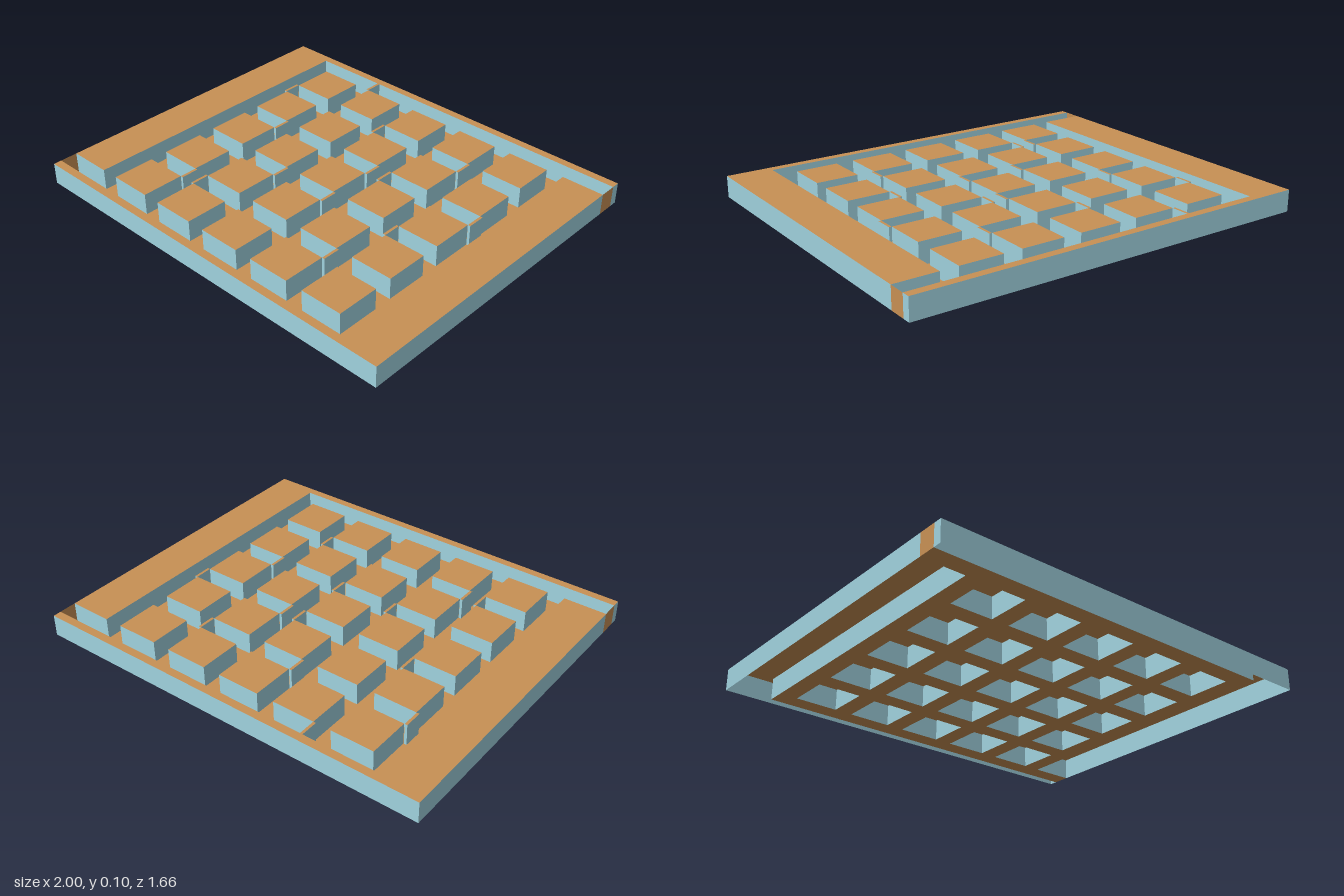
import * as THREE from 'three';

const H = 0.105;      // height of the walls
const PITCH = 0.298;  // block spacing
const HALF = 0.105;   // half a block
const W = 1, D = 0.828, IN = 0.788, OUT = 0.702; // board edges and channel edges

const brown = new THREE.MeshStandardMaterial({ color: 0xc89054, side: THREE.DoubleSide, flatShading: true });
const blue = new THREE.MeshStandardMaterial({ color: 0xa0d2de, side: THREE.DoubleSide, flatShading: true });

// Flat sheet from an [x, z] outline, with optional holes
function sheet(name, outline, y, holes = []) {
  const pts = (loop) => loop.map(([x, z]) => new THREE.Vector2(x, -z));
  const shape = new THREE.Shape(pts(outline));
  holes.forEach((h) => shape.holes.push(new THREE.Path(pts(h))));
  const mesh = new THREE.Mesh(new THREE.ShapeGeometry(shape).rotateX(-Math.PI / 2).translate(0, y, 0), brown);
  mesh.name = name;
  return mesh;
}

// Upright band following an [x, z] loop, open at top and bottom
function band(name, loop, material = blue, closed = true) {
  const pos = [];
  const n = closed ? loop.length : loop.length - 1;
  for (let i = 0; i < n; i++) {
    const [ax, az] = loop[i];
    const [bx, bz] = loop[(i + 1) % loop.length];
    pos.push(ax, 0, az, bx, 0, bz, bx, H, bz, ax, 0, az, bx, H, bz, ax, H, az);
  }
  const geo = new THREE.BufferGeometry();
  geo.setAttribute('position', new THREE.Float32BufferAttribute(pos, 3));
  geo.computeVertexNormals();
  const mesh = new THREE.Mesh(geo, material);
  mesh.name = name;
  return mesh;
}

const turn = (loop) => loop.map(([x, z]) => [-x, -z]);

export function createModel() {
  const model = new THREE.Group();
  model.name = 'mazeBoard';

  // Hollow L-shaped rims, each the other turned half round
  const rim = [[-W, OUT], [-IN, OUT], [-IN, -IN], [W, -IN], [W, -D], [-W, -D]];
  [['backLeftRim', rim], ['frontRightRim', turn(rim)]].forEach(([name, loop]) => {
    const g = new THREE.Group();
    g.name = name;
    g.add(sheet(name + 'Top', loop, H), band(name + 'Walls', loop));
    model.add(g);
  });

  // Hollow blocks, five by five
  const blocks = [];
  for (let r = -2; r <= 2; r++) {
    for (let c = -2; c <= 2; c++) {
      const x = c * PITCH, z = r * PITCH;
      const loop = [[x - HALF, z + HALF], [x + HALF, z + HALF], [x + HALF, z - HALF], [x - HALF, z - HALF]];
      blocks.push(loop);
      const g = new THREE.Group();
      g.name = 'block';
      g.add(sheet('blockTop', loop, H), band('blockWalls', loop));
      model.add(g);
    }
  }

  // Channel floor, open beneath every block
  const half = [[-W, IN], [IN, IN], [IN, -OUT], [W, -OUT]];
  model.add(sheet('channelFloor', [...half, ...turn(half)], 0, blocks));

  // Panels closing the two channel mouths
  const mouth = [[W, -IN], [W, -OUT]];
  model.add(band('rightEndPanel', mouth, brown, false));
  model.add(band('leftEndPanel', turn(mouth), brown, false));

  // Thin barriers across the channels: row, then x of each
  const barriers = [
    [-2.5, [-0.41]],
    [-1.5, [-0.71, -0.113, 0.41]],
    [-0.5, [-0.484, 0.113, 0.186, 0.708]],
    [0.5, [-0.186, 0.113, 0.484]],
    [1.5, [-0.484, -0.41, 0.41]],
  ];
  const gap = PITCH - 2 * HALF;
  barriers.forEach(([row, xs]) => xs.forEach((x) => {
    const wall = new THREE.Mesh(new THREE.BoxGeometry(0.013, H, gap), [blue, blue, brown, brown, blue, blue]);
    wall.position.set(x, H / 2, row * PITCH);
    wall.name = 'barrier';
    model.add(wall);
  }));

  return model;
}
